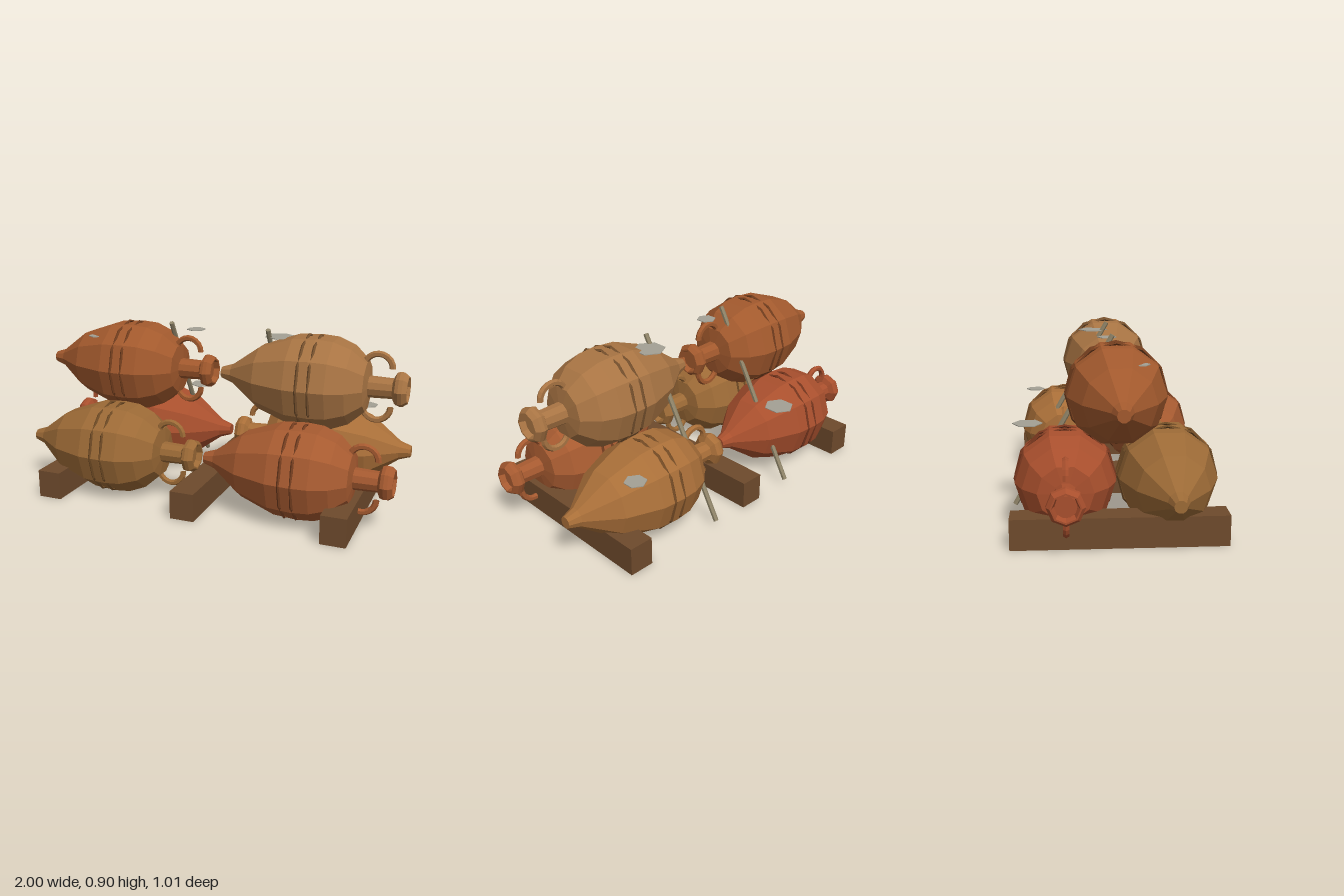
import * as THREE from 'three';

const mat = (color, side = THREE.FrontSide) =>
  new THREE.MeshStandardMaterial({ color, flatShading: true, side });

function add(parent, name, geometry, material) {
  const mesh = new THREE.Mesh(geometry, material);
  mesh.name = name;
  parent.add(mesh);
  return mesh;
}

// Lathe along +x from [distance, radius] pairs
function latheX(profile, sides) {
  const pts = profile.map(([t, r]) => new THREE.Vector2(r, t));
  return new THREE.LatheGeometry(pts, sides).rotateZ(-Math.PI / 2);
}

// Jar lying on its side, foot at -x and mouth at +x, centred on its length
function jar(color) {
  const g = new THREE.Group();
  const clay = mat(color, THREE.DoubleSide);

  add(g, 'body', latheX([
    [-0.49, 0], [-0.49, 0.03], [-0.43, 0.05], [-0.27, 0.17], [-0.09, 0.235],
    [0.03, 0.243], [0.12, 0.236], [0.21, 0.2], [0.285, 0.13], [0.295, 0.055],
    [0.46, 0.05], [0.46, 0],
  ], 10), clay);

  add(g, 'lip', latheX([
    [0.455, 0.052], [0.415, 0.055], [0.43, 0.083], [0.447, 0.089],
    [0.466, 0.087], [0.488, 0.07], [0.488, 0.062], [0.455, 0.052],
  ], 8), clay);

  // Two raised bands that break through the facets
  const bandMat = mat(new THREE.Color(color).multiplyScalar(0.45));
  for (const x of [-0.02, 0.04]) {
    const band = add(g, 'band', new THREE.TorusGeometry(0.238, 0.008, 4, 12), bandMat);
    band.rotation.y = Math.PI / 2;
    band.position.x = x;
  }

  // Handles above and below the neck
  for (const s of [1, -1]) {
    const handle = add(g, 'handle', new THREE.TorusGeometry(0.07, 0.016, 6, 10, Math.PI), clay);
    handle.position.set(0.335, s * 0.099, 0);
    if (s < 0) handle.rotation.x = Math.PI;
  }
  return g;
}

export function createModel() {
  const model = new THREE.Group();
  model.name = 'jarStack';

  // Support beams
  const wood = mat(0x6e4a2c);
  for (const x of [-0.773, -0.003, 0.768]) {
    add(model, 'beam', new THREE.BoxGeometry(0.127, 0.146, 1), wood)
      .position.set(x, 0.073, 0.007);
  }

  // Jars: name, x, y, z, colour, mouth turned to -x
  const jars = [
    ['frontRightJar', -0.51, 0.25, 0.252, 0x9c6a36, false],
    ['frontLeftJar', 0.51, 0.25, 0.252, 0xa65a30, false],
    ['topRightJar', -0.51, 0.65, 0.007, 0xa2592d, false],
    ['topLeftJar', 0.51, 0.65, 0.007, 0xa87443, false],
    ['backRightJar', -0.51, 0.25, -0.238, 0xa84f2d, true],
    ['backLeftJar', 0.51, 0.25, -0.238, 0xa86e38, true],
  ];
  for (const [name, x, y, z, color, turned] of jars) {
    const j = jar(color);
    j.name = name;
    j.position.set(x, y, z);
    if (turned) j.rotation.y = Math.PI;
    model.add(j);
  }

  // Poles leaning against the back
  const poleMat = mat(0x8f8468);
  for (const x of [-0.275, 0.27]) {
    const a = new THREE.Vector3(x, 0.025, -0.495);
    const b = new THREE.Vector3(x, 0.895, 0.005);
    const dir = b.clone().sub(a);
    const pole = add(model, 'pole', new THREE.CylinderGeometry(0.013, 0.013, dir.length(), 6), poleMat);
    pole.position.copy(a).add(b).multiplyScalar(0.5);
    pole.quaternion.setFromUnitVectors(new THREE.Vector3(0, 1, 0), dir.normalize());
  }

  // Thin flat flakes: x, y, z, radius
  const flakeMat = mat(0xa3a094);
  const flakes = [
    [-0.275, 0.45, -0.425, 0.077], [0.725, 0.43, -0.415, 0.055],
    [-0.14, 0.866, -0.015, 0.05], [0.315, 0.85, -0.07, 0.08],
    [-0.68, 0.813, 0.105, 0.045],
  ];
  for (const [x, y, z, r] of flakes) {
    add(model, 'flake', new THREE.CylinderGeometry(r, r, 0.004, 6), flakeMat)
      .position.set(x, y, z);
  }
  return model;
}
